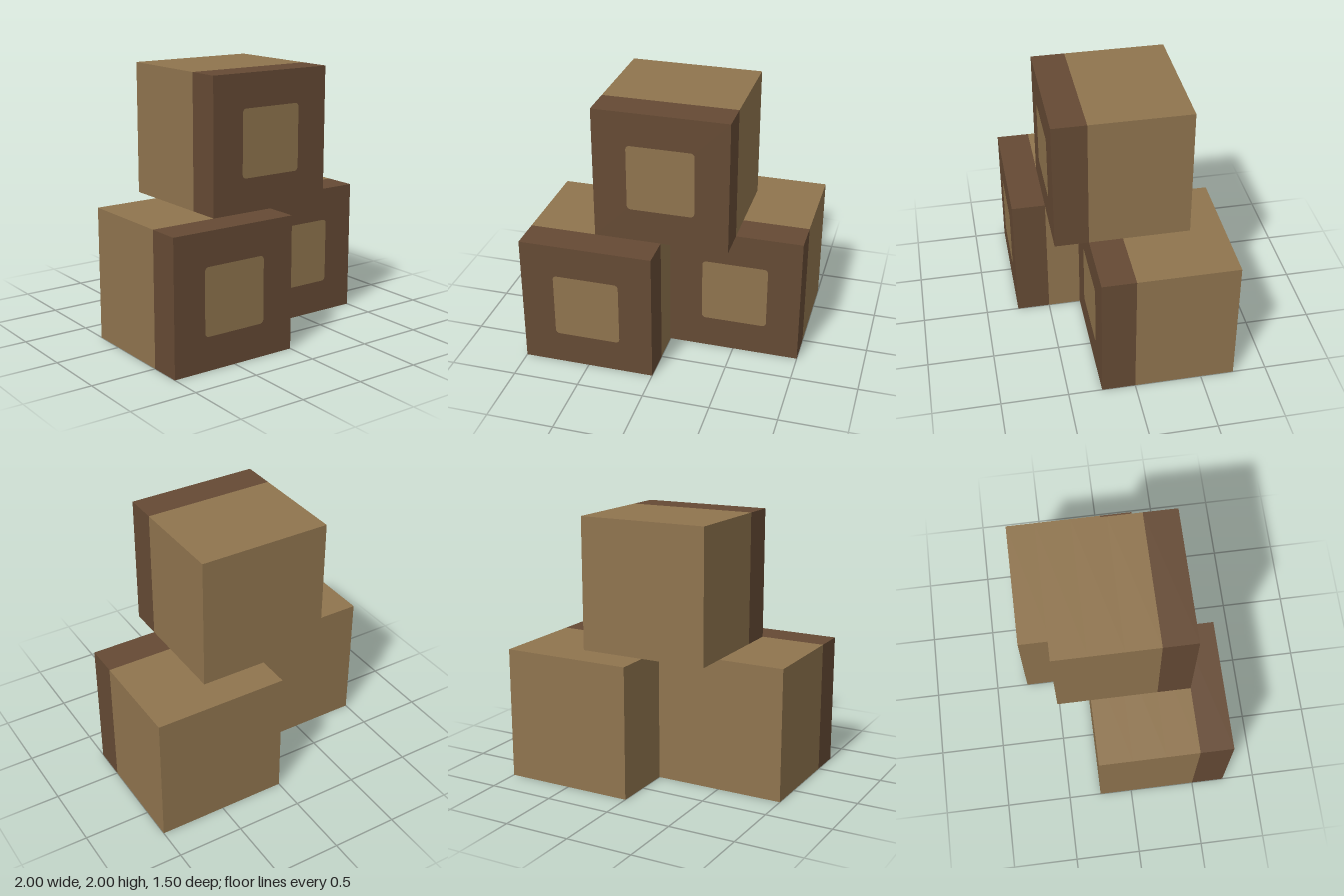
import * as THREE from 'three';

const darkWood = new THREE.MeshStandardMaterial({ color: 0x654a34 });
darkWood.name = 'darkBrown';
const lightWood = new THREE.MeshStandardMaterial({ color: 0x8f744e });
lightWood.name = 'lightBrown';

// Unit cube whose front quarter takes the dark material
function blockGeometry() {
  const geo = new THREE.BoxGeometry(1, 1, 1, 1, 1, 4);
  const pos = geo.attributes.position;
  const index = geo.index;
  geo.clearGroups();
  for (let i = 0; i < index.count; i += 6) {
    let z = 0;
    for (let k = 0; k < 6; k++) z += pos.getZ(index.getX(i + k)) / 6;
    geo.addGroup(i, 6, z > 0.25 ? 0 : 1);
  }
  return geo;
}

// Square panel with softened corners
function panelGeometry(half, r) {
  const s = new THREE.Shape();
  [[1, -1], [1, 1], [-1, 1], [-1, -1]].forEach(([x, y], i) => {
    const start = -Math.PI / 2 + i * Math.PI / 2;
    s.absarc(x * (half - r), y * (half - r), r, start, start + Math.PI / 2, false);
  });
  return new THREE.ShapeGeometry(s, 6);
}

export function createModel() {
  const model = new THREE.Group();
  model.name = 'blockStack';
  const block = blockGeometry();
  const panel = panelGeometry(0.25, 0.03);

  const places = [
    ['lowerRightBlock', -0.5, 0.5, 0.25],
    ['lowerLeftBlock', 0.5, 0.5, -0.25],
    ['topBlock', 0, 1.5, 0],
  ];
  for (const [name, x, y, z] of places) {
    const group = new THREE.Group();
    group.name = name;
    group.position.set(x, y, z);

    const body = new THREE.Mesh(block, [darkWood, lightWood]);
    body.name = 'body';

    // Light square painted on the dark front
    const front = new THREE.Mesh(panel, lightWood);
    front.name = 'frontPanel';
    front.position.z = 0.502;

    group.add(body, front);
    model.add(group);
  }
  return model;
}
